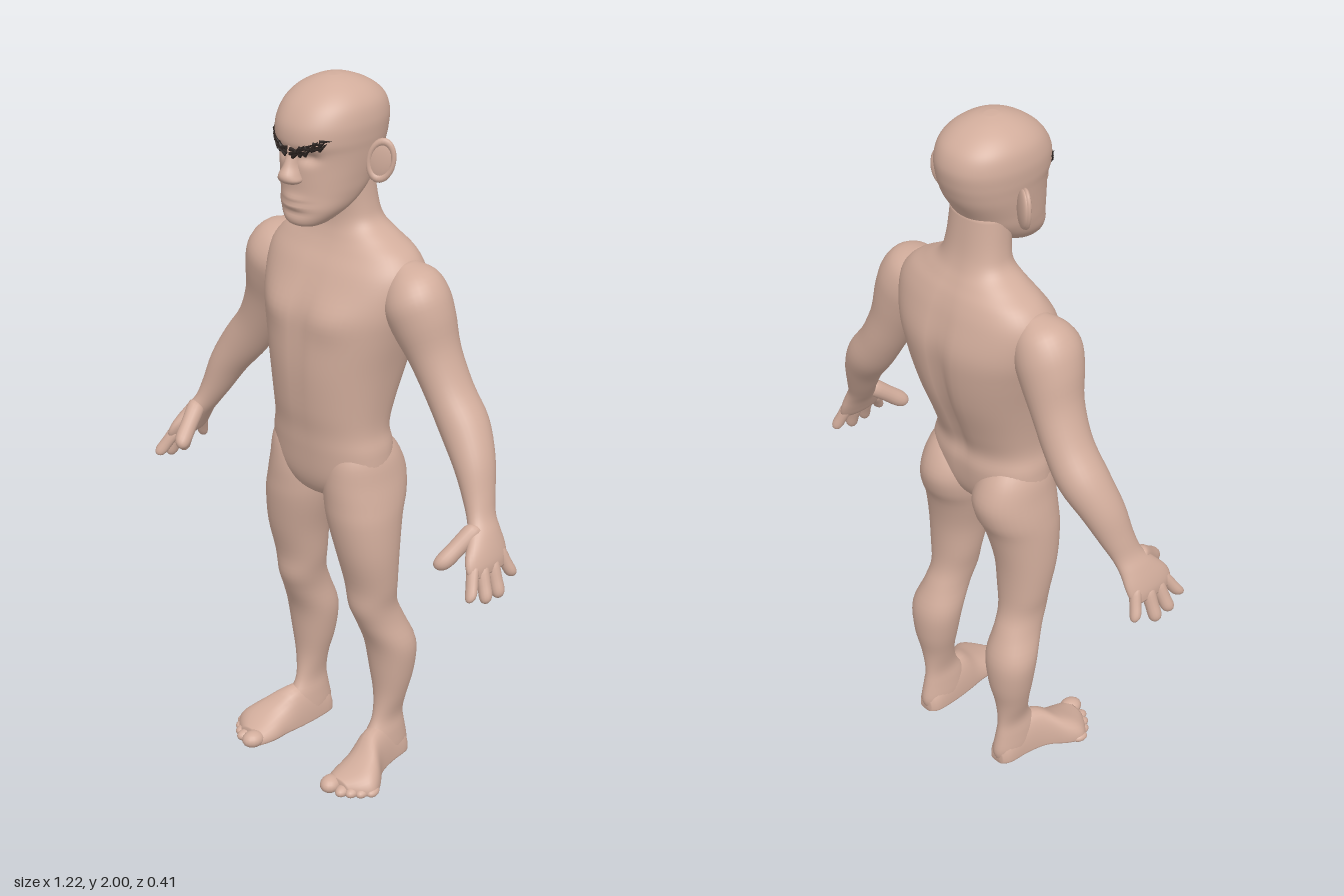
import * as THREE from 'three';

const skin = new THREE.MeshStandardMaterial({ color: 0xd2ad9c });
skin.name = 'skin';
const hair = new THREE.MeshStandardMaterial({ color: 0x2b2320 });
hair.name = 'brow hair';

// Catmull-Rom through every column of a table of cross-sections
function sample(rows, t) {
  const k = Math.min(Math.floor(t), rows.length - 2), f = t - k;
  const a = rows[Math.max(k - 1, 0)], b = rows[k], c = rows[k + 1], d = rows[Math.min(k + 2, rows.length - 1)];
  return b.map((v, i) => v + 0.5 * f * (c[i] - a[i] + f * (2 * a[i] - 5 * v + 4 * c[i] - d[i] + f * (3 * (v - c[i]) + d[i] - a[i]))));
}

// Closed smooth skin over cross-sections; place(row, cos, sin) gives a point
function loft(rows, place, side = 1, steps = 4, segs = 32) {
  const pos = [], index = [], n = (rows.length - 1) * steps;
  for (let i = 0; i <= n; i++) {
    const row = sample(rows, i / steps);
    for (let j = 0; j < segs; j++) {
      const a = (j / segs) * Math.PI * 2;
      const p = place(row, Math.cos(a), Math.sin(a));
      pos.push(p[0] * side, p[1], p[2]);
    }
  }
  for (let i = 0; i < n; i++) for (let j = 0; j < segs; j++) {
    const a = i * segs + j, b = i * segs + (j + 1) % segs;
    index.push(a, a + segs, b, b, a + segs, b + segs);
  }
  for (const ring of [0, n]) {
    const mid = [0, 0, 0], id = pos.length / 3;
    for (let j = 0; j < segs; j++) for (let k = 0; k < 3; k++) mid[k] += pos[(ring * segs + j) * 3 + k] / segs;
    pos.push(...mid);
    for (let j = 0; j < segs; j++) {
      const a = ring * segs + j, b = ring * segs + (j + 1) % segs;
      index.push(...(ring ? [b, a, id] : [a, b, id]));
    }
  }
  // Turn the faces outward if the enclosed volume is negative
  let volume = 0;
  const v = (i) => new THREE.Vector3().fromArray(pos, i * 3);
  for (let i = 0; i < index.length; i += 3) volume += v(index[i]).dot(v(index[i + 1]).cross(v(index[i + 2])));
  if (volume < 0) index.reverse();
  const g = new THREE.BufferGeometry();
  g.setAttribute('position', new THREE.Float32BufferAttribute(pos, 3));
  g.setIndex(index);
  g.computeVertexNormals();
  return g;
}

const power = (v, n) => Math.sign(v) * Math.abs(v) ** (2 / n);
const bump = (x, w) => Math.exp(-((x / w) ** 2));

// Level cross-section: [y, xMin, xMax, zFront, zBack]
const level = (n) => ([y, x0, x1, zf, zb], c, s) =>
  [(x0 + x1) / 2 + (x1 - x0) / 2 * power(c, n), y, (zf + zb) / 2 + (zf - zb) / 2 * power(s, n)];
const symmetric = (rows) => rows.map(([y, w, zf, zb]) => [y, -w, w, zf, zb]);

// Slanted cross-section on axes u and v: [x, y, z, radiusU, radiusV]
const slanted = (u, v) => ([x, y, z, a, b], c, s) =>
  [x, y, z].map((p, i) => p + u[i] * a * c + v[i] * b * s);
const across = slanted([0.88, 0.47, 0], [0, 0, 1]);

// Rounded digit between two points
const digit = (p, q, r) => [[0, 0.6], [0.1, 1], [0.5, 0.95], [0.8, 0.95], [0.94, 0.7], [1, 0.25]].map(
  ([t, k]) => [...p.map((v, i) => v + (q[i] - v) * t), r * k, r * k]);

export function createModel() {
  const model = new THREE.Group();
  model.name = 'figure';
  const add = (name, geometry, material = skin, parent = model) => {
    const m = new THREE.Mesh(geometry, material);
    m.name = name;
    parent.add(m);
    return m;
  };

  // Torso and neck, with chest muscles and a spine groove
  const torsoRows = symmetric([
    [0.845, 0.03, 0.05, -0.03], [0.87, 0.1, 0.088, -0.075], [0.92, 0.175, 0.11, -0.105],
    [1.0, 0.18, 0.12, -0.118], [1.06, 0.168, 0.125, -0.114], [1.13, 0.172, 0.135, -0.138],
    [1.24, 0.19, 0.142, -0.18], [1.34, 0.215, 0.136, -0.202], [1.42, 0.235, 0.118, -0.206],
    [1.5, 0.24, 0.08, -0.185], [1.55, 0.21, 0.048, -0.165], [1.585, 0.155, 0.03, -0.145],
    [1.62, 0.105, 0.02, -0.127], [1.67, 0.09, 0.02, -0.113], [1.76, 0.085, 0.03, -0.1]]);
  const torsoShape = level(2.25);
  add('torso', loft(torsoRows, (row, c, s) => {
    const p = torsoShape(row, c, s);
    if (s < 0) p[2] += 0.02 * bump(p[0], 0.025) * bump(p[1] - 1.27, 0.22);
    else p[2] += s * (0.014 * bump(Math.abs(p[0]) - 0.095, 0.07) * bump(p[1] - 1.39, 0.05)
      - 0.006 * bump(p[0], 0.02) * bump(p[1] - 1.3, 0.18));
    return p;
  }, 1, 5, 56));

  // Head with eye hollows, lips and brow ridge
  const headRows = symmetric([
    [1.632, 0.03, 0.125, 0.06], [1.645, 0.055, 0.147, 0.03], [1.68, 0.085, 0.15, -0.03],
    [1.72, 0.099, 0.146, -0.08], [1.76, 0.106, 0.146, -0.105], [1.8, 0.112, 0.147, -0.13],
    [1.83, 0.116, 0.151, -0.142], [1.86, 0.12, 0.16, -0.15], [1.9, 0.121, 0.155, -0.153],
    [1.94, 0.111, 0.13, -0.138], [1.97, 0.086, 0.093, -0.104], [1.99, 0.05, 0.05, -0.06],
    [1.999, 0.015, 0.015, -0.02]]);
  const headShape = level(2.2);
  add('head', loft(headRows, (row, c, s) => {
    const p = headShape(row, c, s);
    if (s > 0) p[2] += s * (-0.018 * bump(Math.abs(p[0]) - 0.045, 0.025) * bump(p[1] - 1.822, 0.017)
      + 0.01 * bump(p[0], 0.035) * bump(p[1] - 1.7, 0.018)
      - 0.008 * bump(p[0], 0.04) * bump(p[1] - 1.7, 0.006)
      - 0.006 * bump(p[0], 0.05) * bump(p[1] - 1.675, 0.01));
    return p;
  }, 1, 6, 64));

  // Nose
  add('nose', loft(symmetric([
    [1.855, 0.01, 0.158, 0.12], [1.83, 0.014, 0.162, 0.12], [1.8, 0.018, 0.173, 0.12],
    [1.778, 0.027, 0.186, 0.12], [1.762, 0.032, 0.182, 0.12], [1.752, 0.02, 0.165, 0.12]]), level(2), 1, 4, 20));

  const faceZ = (x) => 0.157 * (1 - (Math.abs(x) / 0.121) ** 2.2) ** (1 / 2.2);

  for (const [label, side] of [['left', 1], ['right', -1]]) {
    // Ear: cupped disc with a rolled rim
    const ear = new THREE.Group();
    ear.name = label + 'Ear';
    ear.position.set(0.137 * side, 1.8, -0.03);
    ear.rotation.set(0, 0.52 * side, -0.2 * side);
    add('earCup', new THREE.SphereGeometry(1, 20, 14), skin, ear).scale.set(0.037, 0.056, 0.012);
    const rim = add('earRim', new THREE.TorusGeometry(0.033, 0.007, 8, 28), skin, ear);
    rim.scale.set(0.95, 1.5, 1);
    rim.position.z = 0.006;
    model.add(ear);

    // Eyebrow: a row of short bristles
    const brow = new THREE.Group();
    brow.name = label + 'Eyebrow';
    for (let i = 0; i < 20; i++) {
      const t = i / 19, x = 0.018 + 0.07 * t;
      const tuft = add('browTuft', new THREE.ConeGeometry(0.006, 0.032, 5), hair, brow);
      tuft.position.set(x * side, 1.836 + 0.028 * t + 0.007 * Math.sin(i * 2.4), faceZ(x) + 0.003);
      tuft.rotation.set(0.25, side * t * 0.7, -side * (1.15 + 0.5 * Math.sin(i * 1.7)), 'YXZ');
    }
    model.add(brow);

    // Arm and palm
    add(label + 'Arm', loft([
      [0.195, 1.535, -0.055, 0.02, 0.03], [0.22, 1.5, -0.052, 0.068, 0.07], [0.245, 1.45, -0.048, 0.087, 0.09],
      [0.27, 1.39, -0.053, 0.083, 0.086], [0.3, 1.31, -0.063, 0.066, 0.073], [0.345, 1.22, -0.07, 0.06, 0.068],
      [0.4, 1.14, -0.068, 0.063, 0.069], [0.453, 1.06, -0.05, 0.052, 0.06], [0.487, 0.985, -0.032, 0.039, 0.049],
      [0.51, 0.935, -0.016, 0.03, 0.046], [0.532, 0.9, 0, 0.028, 0.058], [0.55, 0.865, 0.014, 0.026, 0.073],
      [0.563, 0.835, 0.02, 0.022, 0.074], [0.573, 0.815, 0.02, 0.011, 0.058]], across, side, 4, 32));

    // Fingers and thumb
    [[[0.555, 0.85, 0.065], [0.59, 0.772, 0.112], 0.018], [[0.563, 0.84, 0.042], [0.6, 0.752, 0.06], 0.019],
      [[0.565, 0.84, 0.005], [0.6, 0.748, 0.01], 0.019], [[0.555, 0.86, -0.03], [0.587, 0.778, -0.058], 0.017],
    ].forEach(([p, q, r], i) => add(`${label}Finger${i + 1}`, loft(digit(p, q, r), across, side, 3, 14)));
    add(label + 'Thumb', loft(digit([0.522, 0.925, 0.015], [0.484, 0.832, 0.124], 0.025),
      slanted([1, 0, 0], [0, 0.72, 0.69]), side, 3, 16));

    // Leg from hip to heel
    add(label + 'Leg', loft([
      [1.04, 0.06, 0.15, 0.075, -0.07], [0.985, 0.025, 0.18, 0.1, -0.115], [0.92, 0.006, 0.194, 0.108, -0.141],
      [0.86, 0.006, 0.206, 0.108, -0.132], [0.8, 0.018, 0.213, 0.105, -0.106], [0.7, 0.045, 0.215, 0.088, -0.085],
      [0.6, 0.06, 0.207, 0.062, -0.08], [0.53, 0.074, 0.197, 0.056, -0.086], [0.47, 0.08, 0.203, 0.032, -0.11],
      [0.39, 0.076, 0.224, -0.002, -0.14], [0.3, 0.09, 0.215, -0.015, -0.138], [0.22, 0.11, 0.197, -0.02, -0.122],
      [0.15, 0.122, 0.18, -0.008, -0.118], [0.1, 0.116, 0.186, 0.02, -0.125], [0.045, 0.111, 0.19, 0.03, -0.135],
      [0.01, 0.118, 0.182, 0.025, -0.125]], level(2.1), side, 4, 32));

    // Foot, flat underneath: [z, x, halfWidth, height]
    add(label + 'Foot', loft([
      [-0.128, 0.15, 0.022, 0.05], [-0.105, 0.15, 0.038, 0.085], [-0.04, 0.152, 0.043, 0.125],
      [0.02, 0.162, 0.05, 0.125], [0.07, 0.184, 0.067, 0.092], [0.11, 0.192, 0.075, 0.07],
      [0.14, 0.185, 0.063, 0.056], [0.165, 0.172, 0.042, 0.046]],
    ([z, x, w, h], c, s) => [x + w * power(c, 2.4), s > 0 ? 0.018 + (h - 0.018) * s : 0.018 + 0.013 * power(s, 4), z],
    side, 4, 28));

    // Toes
    [[0.155, 0.172, 0.028], [0.194, 0.163, 0.019], [0.217, 0.148, 0.018], [0.238, 0.13, 0.017], [0.256, 0.107, 0.016],
    ].forEach(([x, z, r], i) => {
      const toe = add(`${label}Toe${i + 1}`, new THREE.SphereGeometry(r, 16, 12));
      toe.position.set(x * side, r * 0.85 + 0.003, z);
      toe.rotation.y = 0.2 * side;
      toe.scale.set(1, 0.85, i ? 1.5 : 1.2);
    });
  }
  return model;
}
